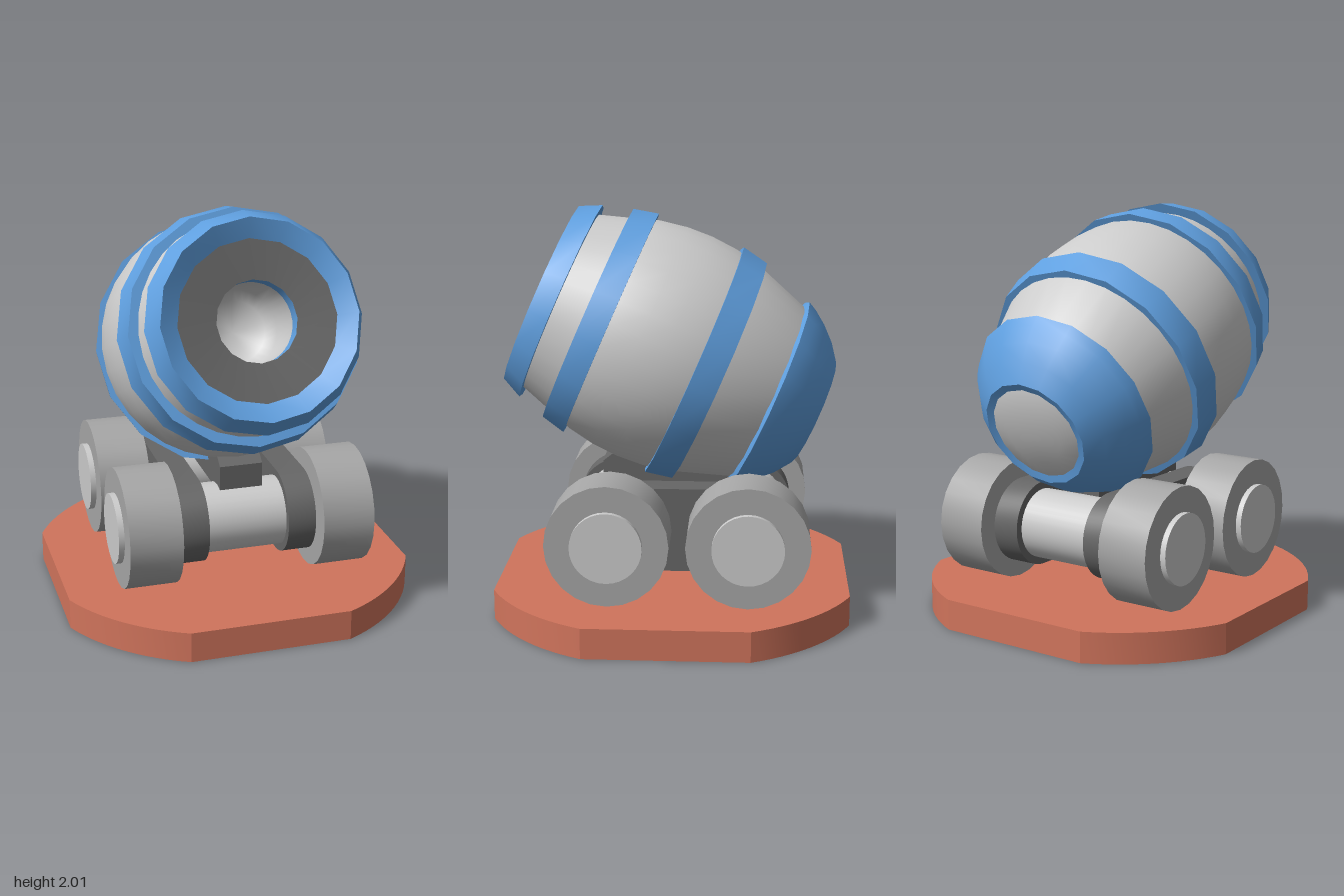
import * as THREE from 'three';
import { toCreasedNormals } from 'three/addons/utils/BufferGeometryUtils.js';

const paint = (color) => new THREE.MeshStandardMaterial({ color });
const GREY = paint(0xcccccc);
const BLUE = paint(0x5f9fdf);
const RED = paint(0xd0745c);
const WHEEL = paint(0xa6a6a6);
const DARK = paint(0x666666);

function add(parent, name, geometry, material, crease = 0.5) {
  const mesh = new THREE.Mesh(toCreasedNormals(geometry, crease), material);
  mesh.name = name;
  parent.add(mesh);
  return mesh;
}

// Profile of [radius, height] pairs turned around y
const turn = (points, sides) =>
  new THREE.LatheGeometry(points.map(([r, h]) => new THREE.Vector2(r, h)), sides);

// Cylinder lying along x
const rod = (radius, length, sides) =>
  new THREE.CylinderGeometry(radius, radius, length, sides).rotateZ(Math.PI / 2);

// Side outline drawn as (-z, y), thickened along x and centred on x = 0
const sideways = (shape, width) =>
  new THREE.ExtrudeGeometry(shape, { depth: width, bevelEnabled: false, curveSegments: 12 })
    .translate(0, 0, -width / 2).rotateY(Math.PI / 2);

function buildBase(root) {
  // Disc cut square on four sides
  const half = 0.875, corner = 0.395;
  const radius = Math.hypot(half, corner), start = Math.atan2(corner, half);
  const shape = new THREE.Shape();
  for (let q = 0; q < 4; q++) {
    const turnBy = q * Math.PI / 2;
    shape.absarc(0, 0, radius, turnBy + start, turnBy + Math.PI / 2 - start, false);
  }
  shape.closePath();
  const plate = new THREE.ExtrudeGeometry(shape, { depth: 0.15, bevelEnabled: false, curveSegments: 6 });
  add(root, 'basePlate', plate.rotateX(-Math.PI / 2), RED, 0.3);
}

function buildCarriage(root) {
  const carriage = new THREE.Group();
  carriage.name = 'carriage';
  root.add(carriage);
  const y = 0.456, axles = [0.297, -0.377];

  for (const z of axles) {
    add(carriage, 'axle', rod(0.173, 1.28, 32), GREY).position.set(0, y, z);
    for (const side of [-1, 1]) {
      add(carriage, 'wheel', rod(0.298, 0.26, 24), WHEEL).position.set(side * 0.482, y, z);
    }
  }

  // Round-ended side brackets joining the two axles
  const bracket = new THREE.Shape();
  bracket.absarc(-axles[1], y, 0.21, -Math.PI / 2, Math.PI / 2, false);
  bracket.absarc(-axles[0], y, 0.21, Math.PI / 2, Math.PI * 1.5, false);
  bracket.closePath();
  for (const side of [-1, 1]) {
    add(carriage, 'bracket', sideways(bracket, 0.14), DARK).position.x = side * 0.27;
  }

  // Block carrying the barrel
  const block = new THREE.Shape([
    [-0.355, 0.6], [0.33, 0.6], [0.33, 0.7], [0, 0.775], [-0.31, 0.775], [-0.355, 0.74],
  ].map(([a, b]) => new THREE.Vector2(a, b)));
  add(carriage, 'supportBlock', sideways(block, 0.215), DARK);
}

function buildBarrel(root) {
  // Local y runs along the bore, with the muzzle rim at 0
  const barrel = new THREE.Group();
  barrel.name = 'barrel';
  barrel.position.set(0, 1.57, 0.66);
  barrel.rotation.x = 1.158;
  root.add(barrel);

  add(barrel, 'barrelBody', turn([
    [0, -1.5], [0.15, -1.49], [0.275, -1.45], [0.37, -1.37], [0.461, -1.225], [0.557, -0.94],
    [0.587, -0.8], [0.596, -0.66], [0.589, -0.53], [0.564, -0.39], [0.516, -0.25], [0.46, -0.08],
  ], 32), GREY);

  // Raised hoops: [back height, back radius, front height, front radius]
  for (const [h0, r0, h1, r1] of [[-0.373, 0.595, -0.25, 0.566], [-0.955, 0.588, -0.82, 0.614]]) {
    add(barrel, 'hoop', turn([[r0 - 0.09, h0], [r0, h0], [r1, h1], [r1 - 0.09, h1]], 16), BLUE);
  }

  // Breech cup around the back end
  add(barrel, 'breechCup', turn([
    [0.24, -1.465], [0.276, -1.474], [0.36, -1.41], [0.425, -1.34],
    [0.472, -1.275], [0.498, -1.227], [0.44, -1.2],
  ], 16), BLUE, 0.6);

  // Muzzle ring, dished face and bore
  add(barrel, 'muzzleRing', turn([[0.44, -0.105], [0.521, -0.105], [0.47, 0], [0.38, -0.05]], 16), BLUE);
  add(barrel, 'muzzleFace', turn([[0.382, -0.05], [0.193, -0.07]], 16), DARK);
  add(barrel, 'boreCollar', turn([[0.193, -0.07], [0.193, -0.15]], 32), BLUE);
  add(barrel, 'bore', turn([[0.193, -0.15], [0.193, -0.4], [0.15, -0.46], [0, -0.5]], 32), GREY, 1);
}

export function createModel() {
  const root = new THREE.Group();
  root.name = 'cannon';
  buildBase(root);
  buildCarriage(root);
  buildBarrel(root);
  return root;
}
